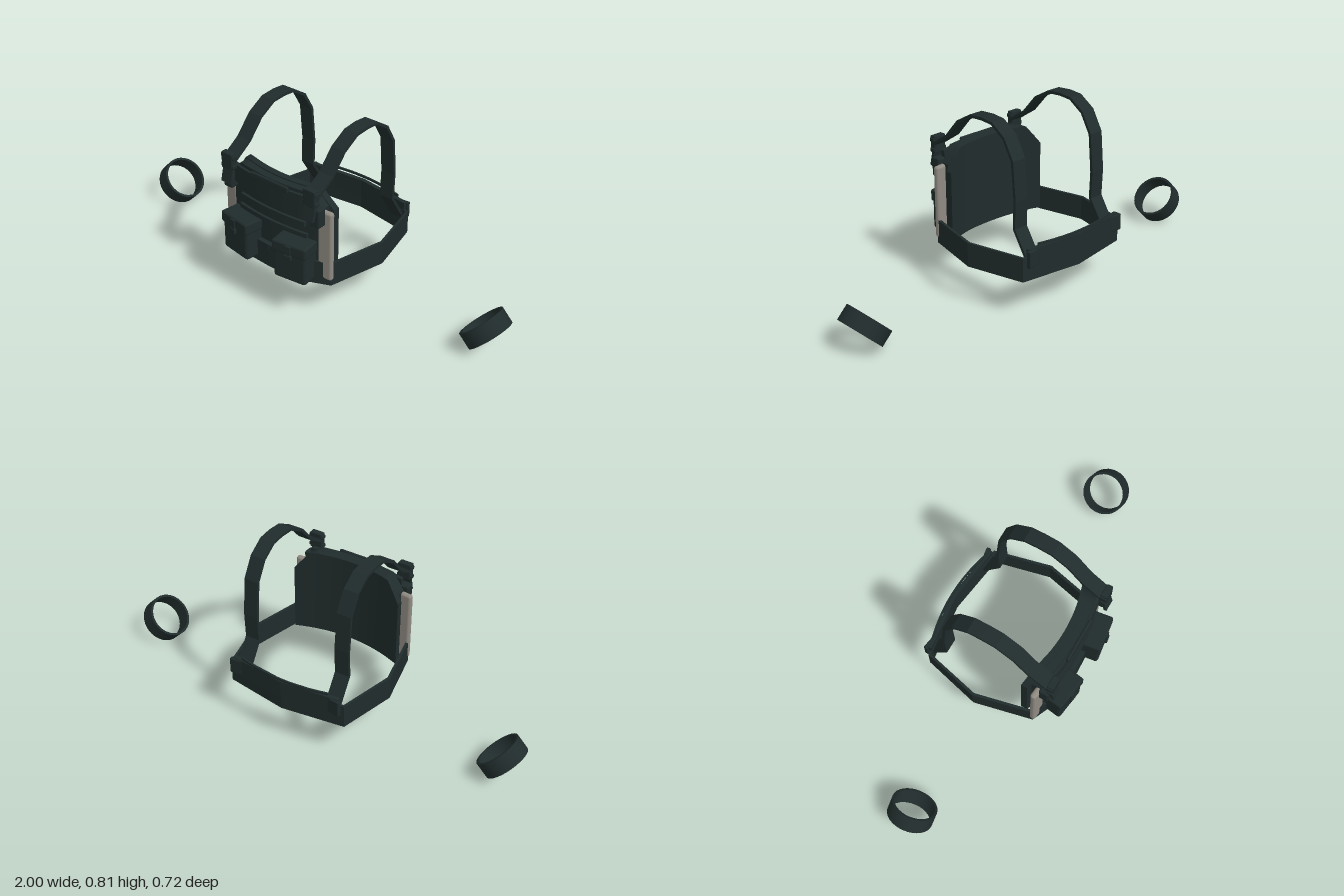
import * as THREE from 'three';
import { toCreasedNormals } from 'three/addons/utils/BufferGeometryUtils.js';
import { RoundedBoxGeometry } from 'three/addons/geometries/RoundedBoxGeometry.js';

const fabric = new THREE.MeshStandardMaterial({ color: 0x202b2b });
fabric.name = 'darkFabric';
const armour = new THREE.MeshStandardMaterial({ color: 0x8f8a82 });
armour.name = 'greyArmour';

// Band of even thickness along a 2D polyline, extruded by depth
function band(points, t, depth) {
  const p = points.map(([x, y]) => new THREE.Vector2(x, y));
  const left = [], right = [];
  p.forEach((q, i) => {
    const a = p[Math.max(i - 1, 0)], b = p[Math.min(i + 1, p.length - 1)];
    const d = b.clone().sub(a).normalize();
    const n = new THREE.Vector2(-d.y, d.x).multiplyScalar(t / 2);
    left.push(q.clone().add(n));
    right.unshift(q.clone().sub(n));
  });
  return new THREE.ExtrudeGeometry(new THREE.Shape([...left, ...right]), { depth, bevelEnabled: false });
}

// Upright band that follows a plan path of [x, z]
const planBand = (pts, t, y0, y1) => band(pts, t, y1 - y0).rotateX(Math.PI / 2).translate(0, y1, 0);

// Ribbon of width w centred on x that follows a side path of [z, y]
const sideBand = (pts, t, x, w) => band(pts, t, w).rotateY(-Math.PI / 2).translate(x + w / 2, 0, 0);

// Panel bowed forwards, with its front at z0 in the middle
function bowed(w, y0, y1, z0, t, bow, top = () => y1) {
  const g = new THREE.BoxGeometry(w, 1, t, 16, 1, 1);
  const p = g.attributes.position;
  for (let i = 0; i < p.count; i++) {
    const x = p.getX(i);
    p.setY(i, p.getY(i) > 0 ? top(Math.abs(x)) : y0);
    p.setZ(i, p.getZ(i) + z0 - t / 2 - bow * x * x);
  }
  g.computeVertexNormals();
  return g;
}

export function createModel() {
  const model = new THREE.Group();
  model.name = 'chestRig';
  const add = (name, geo, mat = fabric, parent = model) => {
    const m = new THREE.Mesh(geo, mat);
    m.name = name;
    parent.add(m);
    return m;
  };
  const box = (name, w, h, d, x, y, z, r = 0, parent = model, mat = fabric) => {
    const g = r ? new RoundedBoxGeometry(w, h, d, 2, r) : new THREE.BoxGeometry(w, h, d);
    const m = add(name, g, mat, parent);
    m.position.set(x, y, z);
    return m;
  };

  // Inner plate with cut top corners, and the front panel over it
  const cut = (x) => 0.605 - Math.max(0, x - 0.2) * 1.3;
  add('innerPlate', bowed(0.54, 0.19, 0.605, 0.236, 0.03, 0.75, cut));
  add('frontPanel', bowed(0.5, 0.175, 0.6, 0.268, 0.045, 0.5, (x) => cut(x) - 0.005));
  add('chestFlap', bowed(0.47, 0.5, 0.585, 0.28, 0.02, 0.45));
  add('lowerPanel', bowed(0.5, 0.17, 0.28, 0.285, 0.03, 0.7));
  box('topHandle', 0.21, 0.028, 0.014, 0, 0.589, 0.278, 0.006);

  // Webbing rows
  for (const [y, h, w] of [[0.447, 0.024, 0.36], [0.393, 0.02, 0.38]])
    add('webbing', bowed(w, y - h / 2, y + h / 2, 0.28, 0.014, 0.45));

  // Belt loop
  const half = [[0.1, 0.28], [0.2, 0.26], [0.288, 0.222], [0.35, -0.045], [0.287, -0.308]];
  const loop = [[0, 0.285], ...half, [0, -0.349], ...half.map(([x, z]) => [-x, z]).reverse(), [0, 0.285]];
  add('belt', planBand(loop, 0.013, 0.17, 0.28));

  // Back pad and thin grab strip
  add('backPad', planBand([[-0.27, -0.318], [0, -0.349], [0.27, -0.318]], 0.02, 0.23, 0.316));
  const arc = [];
  for (let i = -5; i <= 5; i++) arc.push([i * 0.044, -0.357 + 0.03 * (i / 5) ** 2]);
  add('backStrip', planBand(arc, 0.008, 0.323, 0.333));

  const strapPath = [[0.275, 0.612], [0.185, 0.672], [0.11, 0.757], [0.03, 0.803], [-0.04, 0.808], [-0.1, 0.803],
    [-0.17, 0.757], [-0.22, 0.67], [-0.235, 0.5], [-0.23, 0.375], [-0.29, 0.28], [-0.318, 0.235]];

  for (const s of [1, -1]) {
    // Shoulder strap, its buckle and loose end
    add('shoulderStrap', sideBand(strapPath, 0.013, s * 0.23, 0.068));
    add('strapTail', sideBand([[0.272, 0.615], [0.298, 0.507]], 0.013, s * 0.23, 0.056));
    box('strapBuckle', 0.06, 0.078, 0.03, s * 0.23, 0.609, 0.281, 0.004);
    for (const y of [0.585, 0.63]) box('buckleBar', 0.072, 0.018, 0.026, s * 0.23, y, 0.281, 0.004);
    box('backAnchor', 0.06, 0.075, 0.02, s * 0.25, 0.275, -0.328, 0.004).rotation.y = s * 0.15;

    // Flap wing and side armour
    box('flapWing', 0.05, 0.088, 0.045, s * 0.245, 0.512, 0.257, 0.008);
    box('sideArmour', 0.07, 0.335, 0.028, s * 0.265, 0.364, 0.225, 0.012, model, armour).rotation.y = s * 0.1;

    // Pouch with lid and clip
    const pouch = new THREE.Group();
    pouch.name = 'pouch';
    pouch.position.set(s * 0.15, 0, 0.29);
    pouch.rotation.y = s * 0.14;
    model.add(pouch);
    box('pouchBody', 0.16, 0.182, 0.096, 0, 0.281, 0, 0.014, pouch);
    box('pouchLid', 0.17, 0.055, 0.106, 0, 0.35, 0.001, 0.01, pouch);
    box('lidStrap', 0.028, 0.07, 0.012, 0, 0.336, 0.054, 0.003, pouch);
    box('lidClip', 0.036, 0.026, 0.014, 0, 0.315, 0.056, 0.004, pouch);

    // Arm cuff
    const ring = new THREE.Shape().absarc(0, 0, 0.105, 0, Math.PI * 2);
    ring.holes.push(new THREE.Path().absarc(0, 0, 0.094, 0, Math.PI * 2));
    const g = new THREE.ExtrudeGeometry(ring, { depth: 0.073, bevelEnabled: false, curveSegments: 16 });
    const cuff = add('armCuff', toCreasedNormals(g.translate(0, 0, -0.0365).rotateX(Math.PI / 2), 0.6));
    cuff.position.set(s * 0.9, 0.1, -0.04);
    cuff.rotation.z = s * Math.PI / 4;
  }
  return model;
}
